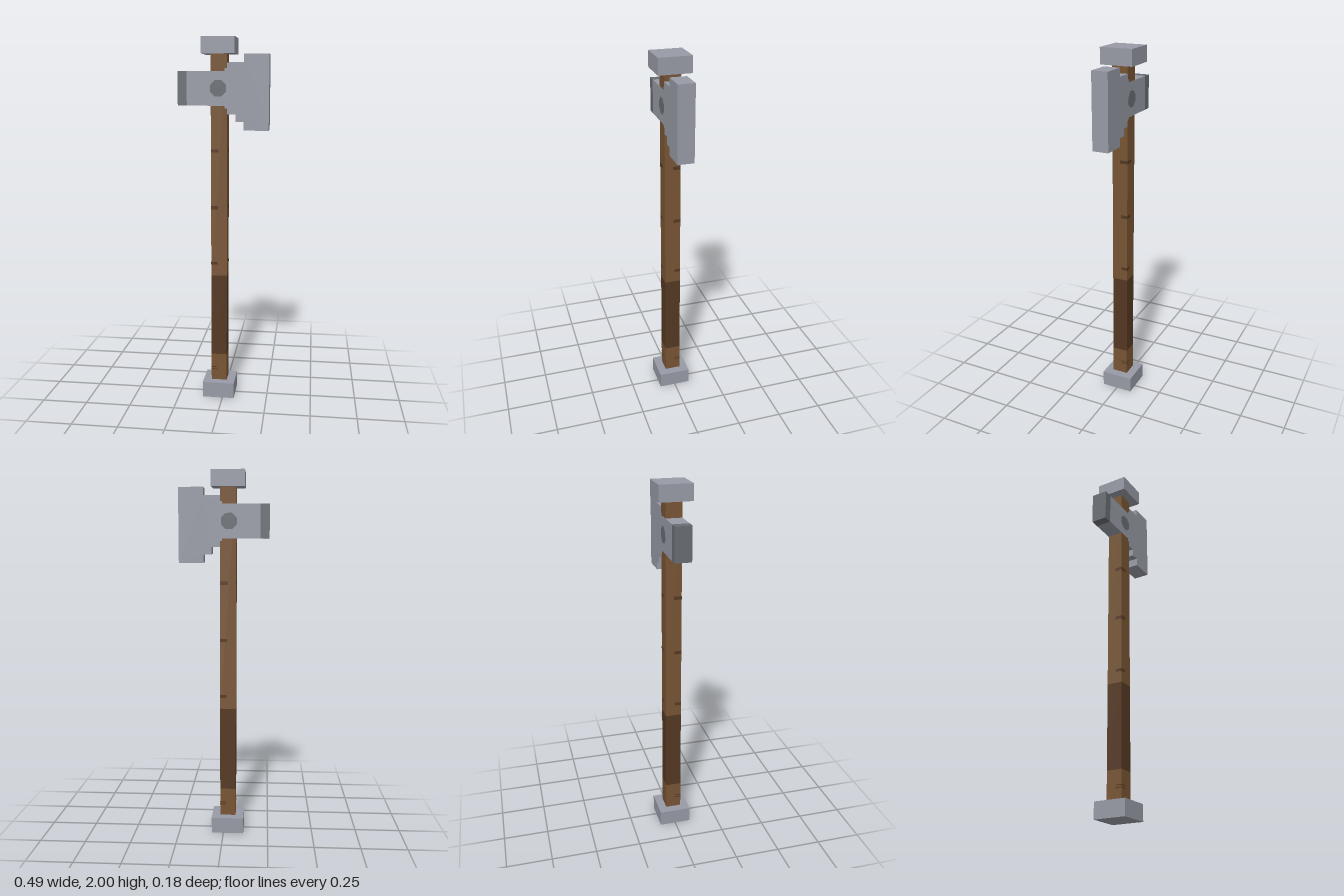
import * as THREE from 'three';

const material = (name, color, extra = {}) => {
  const m = new THREE.MeshStandardMaterial({ color, ...extra });
  m.name = name;
  return m;
};

export function createModel() {
  const steel = material('steel', 0x979aa5);
  const darkSteel = material('darkSteel', 0x686d73);
  const wood = material('wood', 0x775433);
  const grip = material('gripLeather', 0x553822);
  const model = new THREE.Group();
  model.name = 'axe';

  const CX = -0.0235; // shaft axis
  const R = 0.0435; // shaft half width

  function add(name, geometry, mat, x, y, z) {
    const mesh = new THREE.Mesh(geometry, mat);
    mesh.name = name;
    mesh.position.set(x, y, z);
    model.add(mesh);
    return mesh;
  }
  // box spanning y0..y1
  const block = (name, mat, w, y0, y1, d, x, z = 0) =>
    add(name, new THREE.BoxGeometry(w, y1 - y0, d), mat, x, (y0 + y1) / 2, z);

  // shaft sections and end caps
  block('lowerShaft', wood, 2 * R, 0.09, 0.245, 2 * R, CX);
  block('grip', grip, 2 * R, 0.245, 0.71, 2 * R, CX);
  block('upperShaft', wood, 2 * R, 0.71, 1.915, 2 * R, CX);
  block('pommel', steel, 0.178, 0, 0.088, 0.178, CX);
  block('topCap', steel, 0.178, 1.914, 2, 0.178, CX);

  // stepped head with a flared blade
  const outline = [
    [-0.196, 1.645], [0.008, 1.645], [0.008, 1.63], [0.02, 1.63], [0.02, 1.6],
    [0.065, 1.6], [0.065, 1.56], [0.11, 1.56], [0.11, 1.515], [0.243, 1.515],
    [0.243, 1.914], [0.11, 1.914], [0.11, 1.87], [0.02, 1.87], [0.02, 1.84],
    [0.008, 1.84], [0.008, 1.826], [-0.196, 1.826],
  ].map(([x, y]) => new THREE.Vector2(x, y));
  const head = new THREE.ExtrudeGeometry(new THREE.Shape(outline), { depth: 0.089, bevelEnabled: false });
  add('head', head, steel, 0, 0, -0.0445);
  block('hammerFace', darkSteel, 0.049, 1.645, 1.826, 0.089, -0.2205);

  // octagonal rivet on both cheeks
  for (const s of [1, -1]) {
    const rivet = new THREE.CylinderGeometry(0.046, 0.046, 0.002, 8);
    rivet.rotateY(Math.PI / 8).rotateX(Math.PI / 2);
    add('rivet', rivet, darkSteel, -0.027, 1.736, s * 0.0447);
  }

  // short grain marks on each side of the shaft: height, thickness, length
  const marks = [[1.405, 0.018, 0.042], [1.094, 0.018, 0.038], [0.78, 0.016, 0.034],
    [0.166, 0.005, 0.034], [0.153, 0.005, 0.034]];
  const sides = [[0, -1], [Math.PI / 2, 1], [Math.PI, -1], [-Math.PI / 2, 1]];
  for (const [angle, edge] of sides) {
    const side = new THREE.Group();
    side.name = 'grainMarks';
    side.position.x = CX;
    side.rotation.y = angle;
    for (const [y, h, len] of marks) {
      const mark = new THREE.Mesh(new THREE.BoxGeometry(len, h, 0.001), grip);
      mark.name = 'grainMark';
      mark.position.set(edge * (R - len / 2), y, R);
      side.add(mark);
    }
    model.add(side);
  }
  return model;
}
